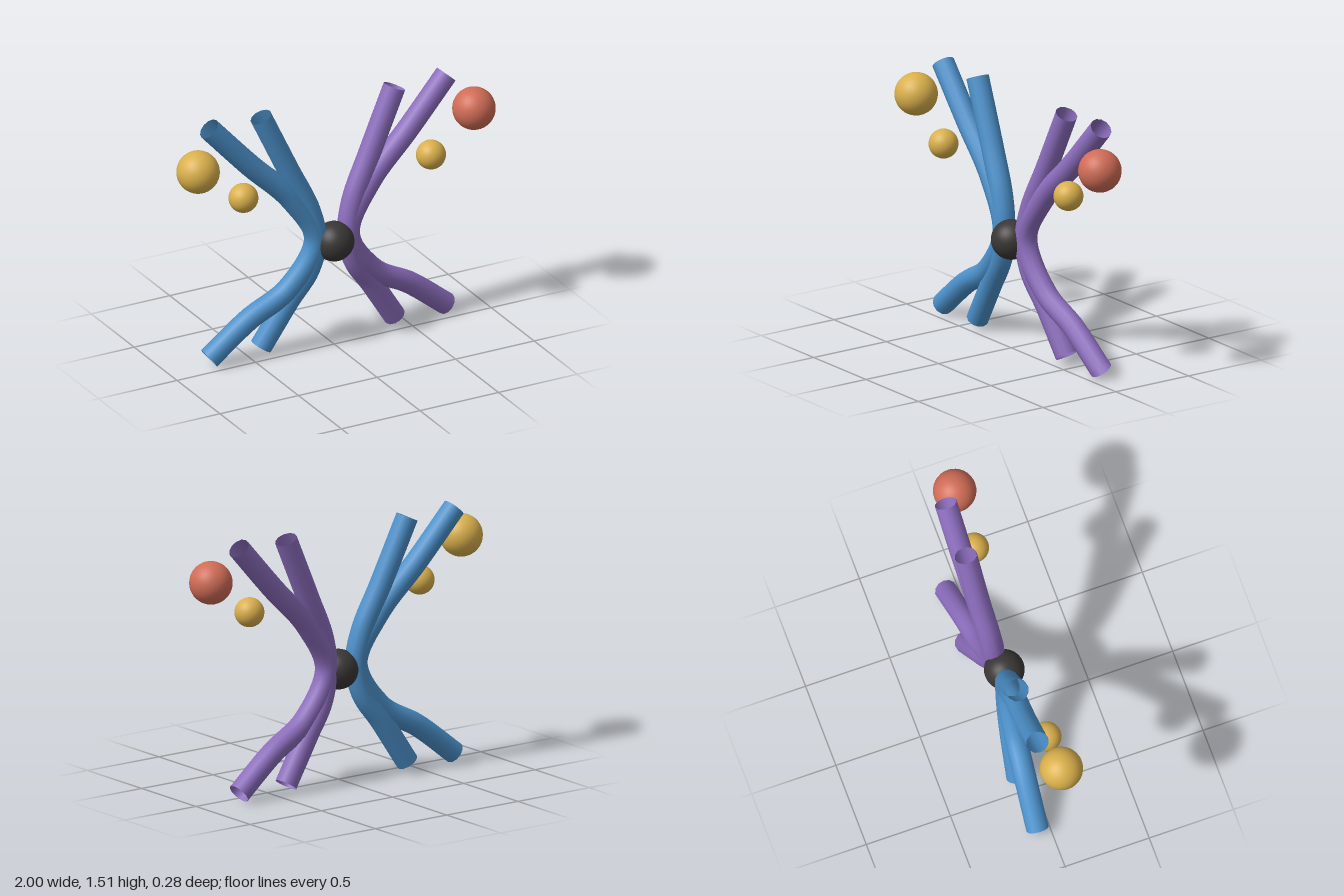
import * as THREE from 'three';

export function createModel() {
  const model = new THREE.Group();
  const material = (name, color, side = THREE.FrontSide) => {
    const m = new THREE.MeshStandardMaterial({ color, side });
    m.name = name;
    return m;
  };
  const blue = material('blue', 0x4c91cb, THREE.DoubleSide);
  const purple = material('purple', 0x8c6dbd, THREE.DoubleSide);
  const gold = material('gold', 0xdab04c);
  const coral = material('coral', 0xd06c56);
  const charcoal = material('charcoal', 0x3a3636);

  const add = (name, geometry, mat, x = 0, y = 0, z = 0) => {
    const mesh = new THREE.Mesh(geometry, mat);
    mesh.name = name;
    mesh.position.set(x, y, z);
    model.add(mesh);
  };

  // Centre lines for the +x side, from top end to bottom end
  const strands = {
    outerStrand: [
      [0.755, 1.468, -0.075], [0.5, 1.19, -0.06], [0.25, 0.935, -0.042], [0.105, 0.66, -0.026],
      [0.27, 0.39, -0.04], [0.51, 0.245, -0.06], [0.755, 0.053, -0.075],
    ],
    innerStrand: [
      [0.425, 1.467, -0.075], [0.255, 1.1, -0.055], [0.14, 0.85, -0.036], [0.105, 0.66, -0.026],
      [0.145, 0.48, -0.035], [0.26, 0.31, -0.055], [0.425, 0.053, -0.075],
    ],
  };

  // Open bent tubes, mirrored left and right
  for (const [side, label, mat] of [[1, 'left', purple], [-1, 'right', blue]]) {
    for (const [name, points] of Object.entries(strands)) {
      const curve = new THREE.CatmullRomCurve3(points.map(([x, y, z]) => new THREE.Vector3(side * x, y, z)));
      add(`${name} ${label}`, new THREE.TubeGeometry(curve, 48, 0.064, 12, false), mat);
    }
    // Floating balls beside the upper arms
    add(`largeBall ${label}`, new THREE.SphereGeometry(0.122, 32, 20), side > 0 ? coral : gold, side * 0.878, 1.27, 0.022);
    add(`smallBall ${label}`, new THREE.SphereGeometry(0.084, 32, 20), gold, side * 0.597, 1.053, 0.036);
  }

  // Central joint ball
  add('centreBall', new THREE.SphereGeometry(0.114, 32, 20), charcoal, 0, 0.638, 0);

  return model;
}
